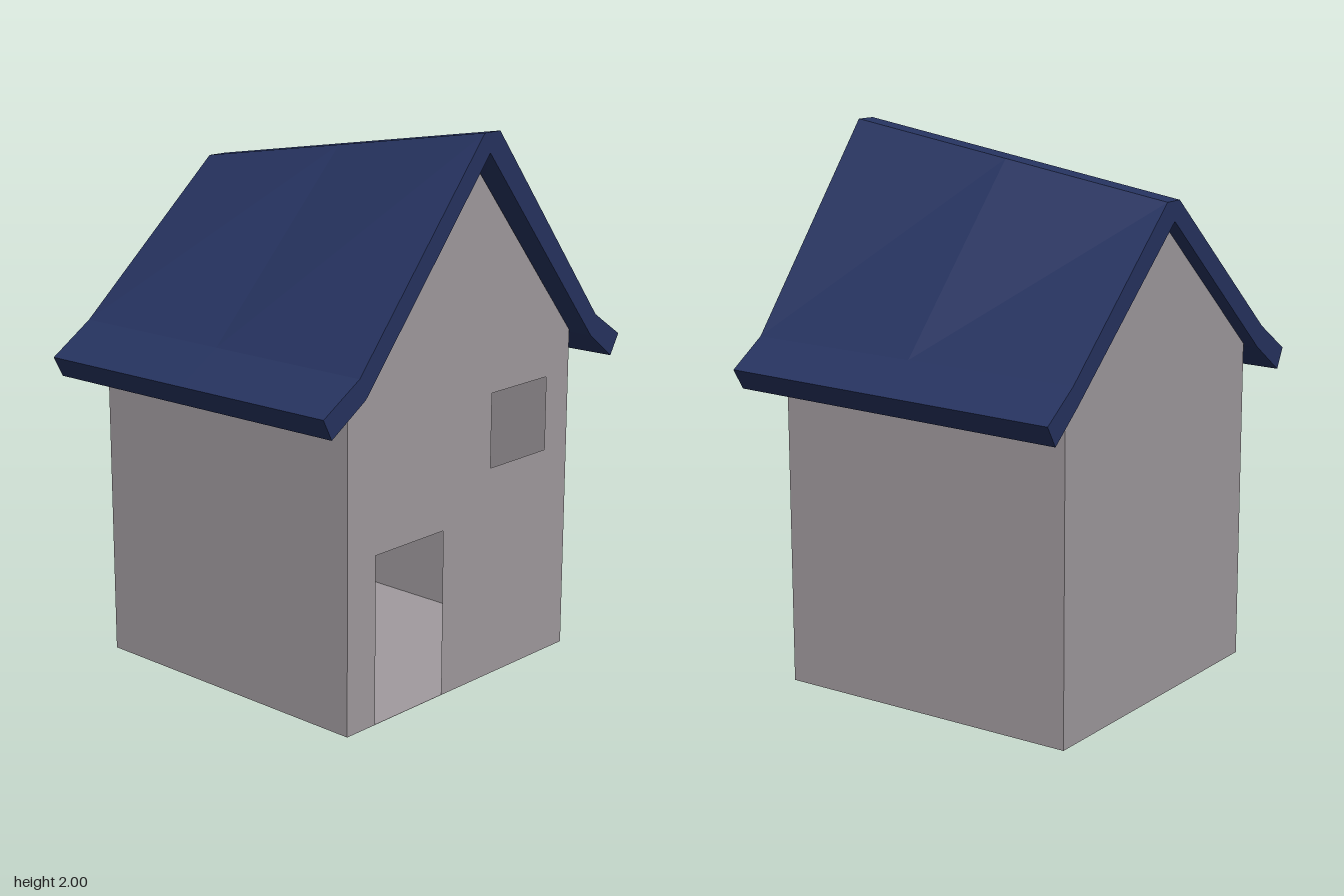
import * as THREE from 'three';

const wallGrey = new THREE.MeshStandardMaterial({ color: 0xa19b9f, side: THREE.DoubleSide });
wallGrey.name = 'wallGrey';
const roofBlue = new THREE.MeshStandardMaterial({ color: 0x263360 });
roofBlue.name = 'roofBlue';

const FRONT = 0.58, BACK = -0.605, LEFT = 0.57, RIGHT = -0.61, RIDGE = -0.03;

// Roof outline at one x: [z, y] pairs from the front eave to the back eave
function roofSection(x) {
  const ridge = 1.896 + 0.159 * x; // the ridge climbs toward +x
  const eave = 1.165 + 0.018 * x;
  const kink = 1.27 + 0.012 * x;
  return {
    outer: [[0.788, eave], [0.62, kink], [0.01, ridge], [-0.07, ridge], [-0.64, kink], [-0.785, eave + 0.005]],
    inner: [[0.75, eave - 0.075], [0.59, kink - 0.075], [RIDGE + 0.01, ridge - 0.07], [-0.615, kink - 0.075], [-0.74, eave - 0.07]],
  };
}

// Loft the roof section along x and cap both gable ends
function roofGeometry(stations) {
  const pos = [];
  const tri = (...pts) => pts.forEach((p) => pos.push(...p));
  const at = (x, [z, y]) => [x, y, z];
  for (let s = 0; s < stations.length - 1; s++) {
    const [x0, x1] = [stations[s], stations[s + 1]];
    const [A, B] = [x0, x1].map((x) => {
      const { outer, inner } = roofSection(x);
      return [...outer, ...inner.reverse()].map((p) => at(x, p));
    });
    for (let i = 0; i < A.length; i++) {
      const j = (i + 1) % A.length;
      tri(A[i], B[i], B[j]);
      tri(A[i], B[j], A[j]);
    }
  }
  for (const x of [stations[0], stations[stations.length - 1]]) {
    const { outer: o, inner: n } = roofSection(x);
    const faces = [
      [o[0], o[1], n[1]], [o[0], n[1], n[0]], [o[1], o[2], n[2]], [o[1], n[2], n[1]], [o[2], o[3], n[2]],
      [o[3], o[4], n[3]], [o[3], n[3], n[2]], [o[4], o[5], n[4]], [o[4], n[4], n[3]],
    ];
    for (const f of faces) tri(...(x > 0 ? f.reverse() : f).map((p) => at(x, p)));
  }
  const g = new THREE.BufferGeometry();
  g.setAttribute('position', new THREE.Float32BufferAttribute(pos, 3));
  g.computeVertexNormals();
  return g;
}

// Thin gable wall at x, reaching the underside of the roof
function gableGeometry(x, openings = []) {
  const { inner } = roofSection(x);
  const points = [[FRONT, 0], [BACK, 0], [BACK, inner[3][1] + 0.01], inner[2], [FRONT, inner[1][1] + 0.01]];
  const outline = (pts) => pts.map(([z, y]) => new THREE.Vector2(-z, y));
  const shape = new THREE.Shape(outline(points));
  for (const [z0, z1, y0, y1] of openings) {
    shape.holes.push(new THREE.Path(outline([[z0, y0], [z0, y1], [z1, y1], [z1, y0]])));
  }
  return new THREE.ShapeGeometry(shape).rotateY(Math.PI / 2).translate(x, 0, 0);
}

export function createModel() {
  const house = new THREE.Group();
  house.name = 'house';
  const add = (name, geometry, material) => {
    const mesh = new THREE.Mesh(geometry, material);
    mesh.name = name;
    house.add(mesh);
    return mesh;
  };
  const width = LEFT - RIGHT, depth = FRONT - BACK;
  const midX = (LEFT + RIGHT) / 2, midZ = (FRONT + BACK) / 2;

  // Gable walls, with an open doorway and window on the +x side
  const doorway = [0.44, 0.09, 0.001, 0.615];
  const windowOpening = [-0.165, -0.475, 0.785, 1.06];
  add('doorGableWall', gableGeometry(LEFT, [doorway, windowOpening]), wallGrey);
  add('plainGableWall', gableGeometry(RIGHT), wallGrey);

  // Front and back walls and the floor
  const wallTop = 1.195;
  add('frontWall', new THREE.PlaneGeometry(width, wallTop).translate(midX, wallTop / 2, FRONT), wallGrey);
  add('backWall', new THREE.PlaneGeometry(width, wallTop).rotateY(Math.PI).translate(midX, wallTop / 2, BACK), wallGrey);
  add('floor', new THREE.PlaneGeometry(width, depth).rotateX(-Math.PI / 2).translate(midX, 0, midZ), wallGrey);

  // Sloping-ridge roof with flared eaves
  add('roof', roofGeometry([-0.663, 0, 0.66]), roofBlue);
  return house;
}
